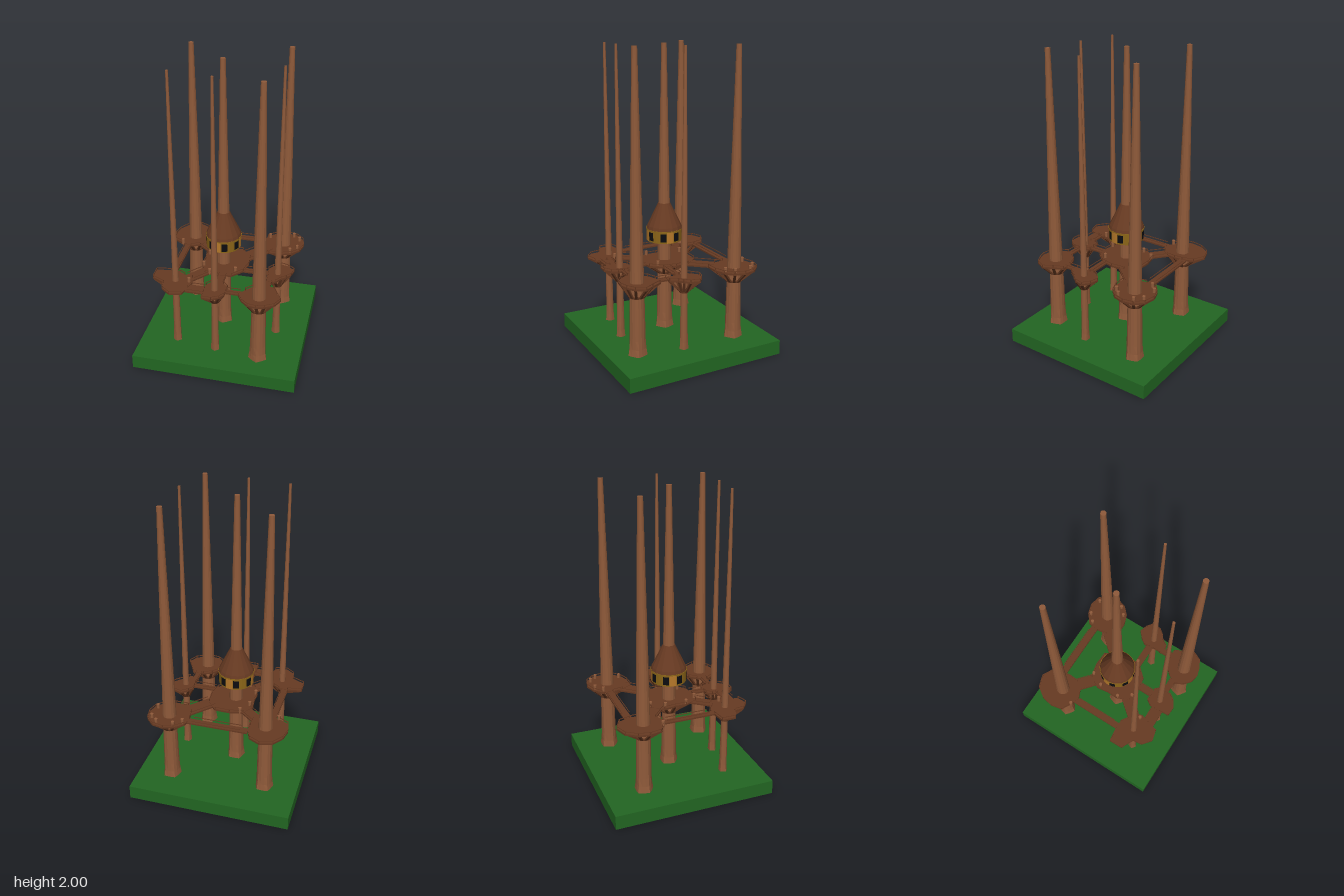
import * as THREE from 'three';

const mat = (name, color) => Object.assign(new THREE.MeshStandardMaterial({ color }), { name });

// Plan coordinates are in hundredths of a unit: [x, z].
// Each deck is a list of reaches from the trunk at equal angles, from +x towards +z.
const TREES = [
  { at: [-32, -28], r: 1, reach: [10.6, 11.8, 12.4, 13.5, 12.9, 15.3, 14.8, 15.4, 17, 17.5, 15.5, 11.7] },
  { at: [32, -32], r: 1, reach: [14, 14, 13.9, 14.4, 16.8, 14.6, 14, 15, 14.2, 14.5, 14.9, 14.7] },
  { at: [-4.5, 0], r: 1, reach: [17.5, 17.9, 18.4, 17.5, 18.5, 15.2, 12.9, 16.3, 18.5, 18, 20.3, 19.1] },
  { at: [27, 36], r: 1, reach: [14, 12.7, 10.9, 11, 11.6, 12.1, 13.7, 11.8, 12.2, 13, 14.7, 12.2] },
  { at: [34, 6.5], r: 0.48, reach: [8.9, 7, 6.5, 10.5, 12, 6.9, 6.4, 7.9, 8.7, 11.3, 11.1, 11.9] },
  { at: [-30, 29.5], r: 0.48, reach: [11.5, 11.5, 15.6, 15.5, 12.3, 8.3, 15.7, 18.3, 12.1, 10.5, 8.7, 11.5] },
  { at: [-2.5, 34], r: 0.48, reach: [7.5, 8.6, 9.4, 11, 12.4, 8, 7, 8, 8.7, 7.5, 8.7, 8.7] },
];

// Bridges: x1, z1, x2, z2, width
const BRIDGES = [
  [-22, -34.5, 20, -34.5, 5], [-34.2, -18, -34.2, 20, 4.4], [24, -26, 8, -8, 10],
  [-26, -22, -13, -11, 8], [10, 7, 29, 7, 4.5], [29.8, 15, 29.8, 25, 4],
  [-1.5, 15, -1.5, 28, 5], [4, 34, 16, 34, 4], [-21, 36, -8, 36, 8], [-13, 13.5, -22.5, 25, 8],
];

// Stout posts standing on the decks
const POSTS = [[21, -38], [26, -42.5], [37.5, -42.5], [42, -38], [42, -26.5], [37.5, -22],
  [-38.3, -17], [-11.4, -15.5], [-15.8, -6.8], [-16.4, 7.6], [-10.5, 15.8], [5.8, 10.2], [-21, 29.2]];

const DECK = 0.576, RAIL = 0.591;
const V = (p, y) => new THREE.Vector3(p[0] / 100, y, p[1] / 100);

const flat = (geo) => {
  const g = geo.toNonIndexed();
  g.computeVertexNormals();
  return g;
};

function add(parent, name, geo, material) {
  const m = new THREE.Mesh(geo, material);
  m.name = name;
  parent.add(m);
  return m;
}

// Box beam between two points
function bar(parent, name, a, b, w, h, material) {
  const m = add(parent, name, new THREE.BoxGeometry(w, h, a.distanceTo(b)), material);
  m.position.copy(a).add(b).multiplyScalar(0.5);
  m.lookAt(b);
}

function trunkGeometry(s) {
  const profile = [[0.059, 0.09], [0.053, 0.14], [0.051, 0.2], [0.045, 0.6], [0.0335, 1.2], [0.017, 2], [0, 2]];
  const geo = new THREE.LatheGeometry(profile.map(([r, y]) => new THREE.Vector2(r * s, y)), 15);
  const p = geo.attributes.position;
  // Root flutes fading out above the ground
  for (let i = 0; i < p.count; i++) {
    const f = 1 + 0.1 * Math.max(0, 1 - (p.getY(i) - 0.09) / 0.15) * Math.cos(5 * Math.atan2(p.getX(i), p.getZ(i)));
    p.setX(i, p.getX(i) * f);
    p.setZ(i, p.getZ(i) * f);
  }
  return flat(geo);
}

// True where a bridge meets a deck edge, so the rail is left open
function atBridge(a, b) {
  const m = new THREE.Vector3((a[0] + b[0]) / 2, 0, (a[1] + b[1]) / 2);
  return BRIDGES.some(([x1, z1, x2, z2, w]) => {
    const line = new THREE.Line3(new THREE.Vector3(x1, 0, z1), new THREE.Vector3(x2, 0, z2));
    return line.closestPointToPoint(m, true, new THREE.Vector3()).distanceTo(m) < w / 2;
  });
}

export function createModel() {
  const root = new THREE.Group();
  root.name = 'treeVillage';
  const grass = mat('grass green', 0x226622);
  const bark = mat('bark brown', 0x8f5a3a);
  const timber = mat('dark timber', 0x673a22);
  const wall = mat('dark ochre', 0x8b6518);
  const panel = mat('light ochre', 0xb5782a);
  const glass = mat('window black', 0x0c0c10);

  add(root, 'ground', new THREE.BoxGeometry(1.09, 0.095, 1.09), grass).position.y = 0.0475;

  for (const { at, r, reach } of TREES) {
    const tree = new THREE.Group();
    tree.name = 'treeWithDeck';
    root.add(tree);
    add(tree, 'trunk', trunkGeometry(r), bark).position.copy(V(at, 0));

    // Point at a given distance from the trunk, along spoke i
    const spoke = (i, d) => {
      const a = i / reach.length * Math.PI * 2;
      return [at[0] + Math.cos(a) * d, at[1] + Math.sin(a) * d];
    };

    // Deck slab
    const shape = new THREE.Shape(reach.map((d, i) => {
      const [x, z] = spoke(i, d);
      return new THREE.Vector2(x / 100, -z / 100);
    }));
    const slab = new THREE.ExtrudeGeometry(shape, { depth: 0.012, bevelEnabled: false });
    slab.rotateX(-Math.PI / 2);
    add(tree, 'deck', slab, timber).position.y = DECK - 0.012;

    // Collar around the trunk, struts fanning out under the deck, rail along its edge
    const collar = new THREE.CylinderGeometry(0.047 * r + 0.012, 0.047 * r + 0.008, 0.014, 15);
    add(tree, 'collar', flat(collar), timber).position.copy(V(at, 0.488));
    reach.forEach((d, i) => {
      const next = (i + 1) % reach.length;
      const a = spoke(i, d * 0.98), b = spoke(next, reach[next] * 0.98);
      bar(tree, 'strut', V(spoke(i, 5 * r), 0.487), V(spoke(i, d * 0.92), 0.566), 0.016, 0.012, timber);
      bar(tree, 'railPost', V(a, DECK - 0.005), V(a, RAIL), 0.005, 0.005, timber);
      if (!atBridge(a, b)) bar(tree, 'rail', V(a, RAIL), V(b, RAIL), 0.005, 0.004, timber);
    });
  }

  // Bridges with side rails
  for (const [x1, z1, x2, z2, w] of BRIDGES) {
    bar(root, 'bridge', V([x1, z1], DECK - 0.007), V([x2, z2], DECK - 0.007), w / 100, 0.01, timber);
    const len = Math.hypot(x2 - x1, z2 - z1);
    const nx = -(z2 - z1) / len * w * 0.48, nz = (x2 - x1) / len * w * 0.48;
    for (const s of [-1, 1]) {
      const end = (t) => V([x1 + (x2 - x1) * t + nx * s, z1 + (z2 - z1) * t + nz * s], RAIL);
      bar(root, 'bridgeRail', end(0.12), end(0.88), 0.004, 0.004, timber);
    }
  }

  for (const p of POSTS) {
    add(root, 'post', new THREE.CylinderGeometry(0.011, 0.011, 0.04, 10), bark).position.copy(V(p, 0.585));
  }

  // Round hut wrapped around the middle trunk
  const hut = new THREE.Group();
  hut.name = 'hut';
  hut.position.copy(V([-4.5, 0], 0));
  root.add(hut);
  add(hut, 'hutWall', flat(new THREE.CylinderGeometry(0.116, 0.116, 0.08, 32)), wall).position.y = 0.752;
  add(hut, 'eavesRing', flat(new THREE.CylinderGeometry(0.121, 0.121, 0.006, 32)), wall).position.y = 0.792;
  const roof = [[0, 0.795], [0.119, 0.795], [0.113, 0.815], [0.04, 0.965], [0, 0.967]];
  add(hut, 'roof', flat(new THREE.LatheGeometry(roof.map(([r, y]) => new THREE.Vector2(r, y)), 16)), timber);

  // Thin curved plates on the wall: windows all round, light panels on the four main sides
  const plate = (name, deg, span, h, material) => {
    const [start, arc] = [deg - span / 2, span].map(THREE.MathUtils.degToRad);
    add(hut, name, flat(new THREE.CylinderGeometry(0.1185, 0.1185, h, 4, 1, true, start, arc)), material).position.y = 0.752;
  };
  for (let i = 0; i < 8; i++) plate('window', 15 + i * 45, 19, 0.056, glass);
  for (let i = 0; i < 4; i++) plate('wallPanel', -7.5 + i * 90, 22, 0.074, panel);

  return root;
}
